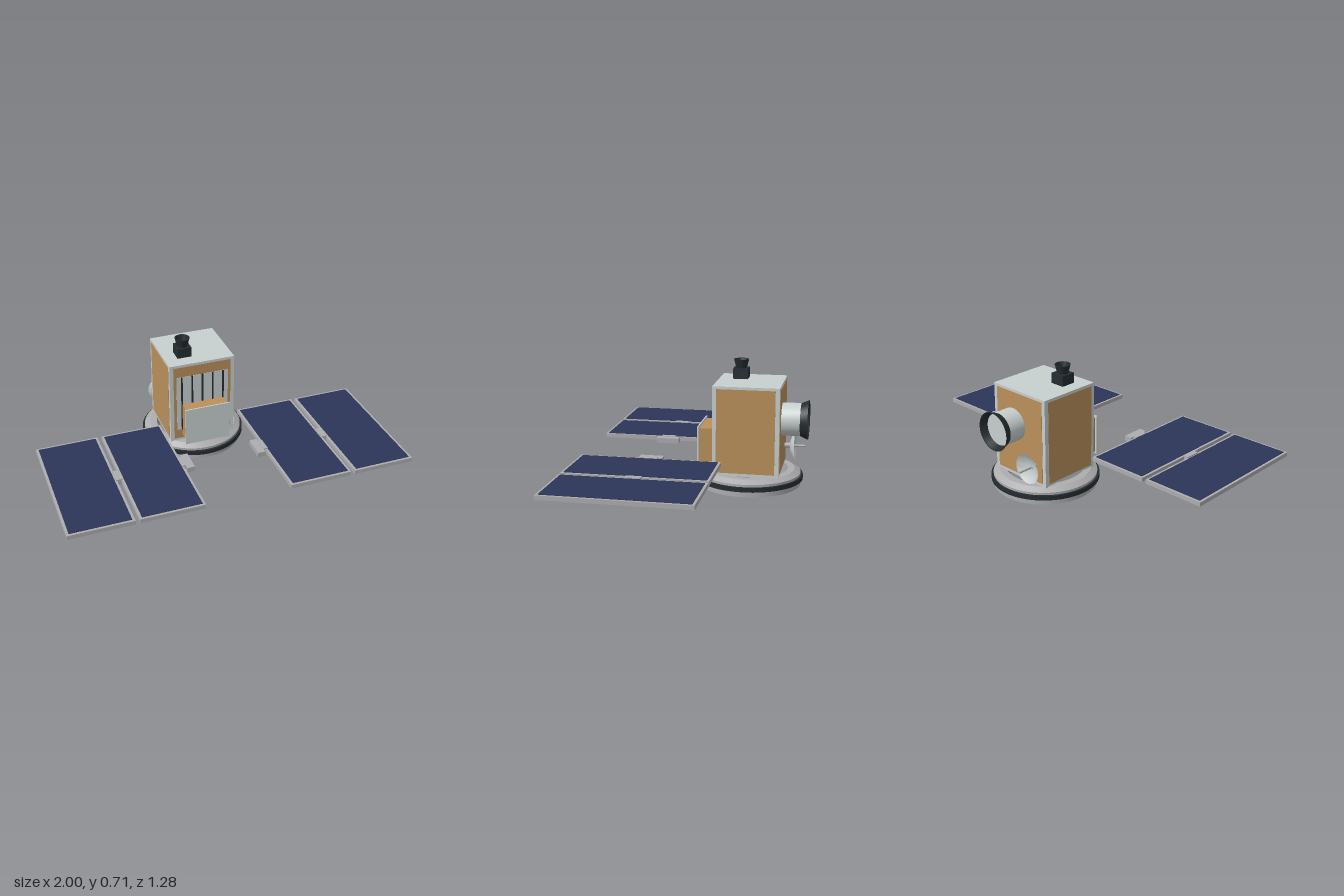
import * as THREE from 'three';
import { toCreasedNormals } from 'three/addons/utils/BufferGeometryUtils.js';

const mat = (name, color, side = THREE.FrontSide) => {
  const m = new THREE.MeshStandardMaterial({ color, side });
  m.name = name;
  return m;
};

export function createModel() {
  const model = new THREE.Group();
  model.name = 'satellite';
  const shell = mat('pale shell', 0xc8cfcf, THREE.DoubleSide);
  const metal = mat('aluminium', 0xadadb0);
  const foil = mat('gold foil', 0xba905b);
  const dark = mat('dark fittings', 0x242c30, THREE.DoubleSide);
  const solar = mat('solar blue', 0x2c3558);

  const add = (name, geometry, material, parent = model) => {
    const mesh = new THREE.Mesh(geometry, material);
    mesh.name = name;
    parent.add(mesh);
    return mesh;
  };
  // Box given by its limits on each axis
  const box = (name, material, [x0, x1], [y0, y1], [z0, z1], parent) => {
    const mesh = add(name, new THREE.BoxGeometry(x1 - x0, y1 - y0, z1 - z0), material, parent);
    mesh.position.set((x0 + x1) / 2, (y0 + y1) / 2, (z0 + z1) / 2);
    return mesh;
  };
  const lathe = (points, segments = 64) => toCreasedNormals(
    new THREE.LatheGeometry(points.map(p => new THREE.Vector2(...p)), segments), 0.4);
  // Round part whose axis points backwards, starting at (x, y, z)
  const backLathe = (name, material, points, x, y, z, parent) => {
    const mesh = add(name, lathe(points, 48).rotateX(-Math.PI / 2), material, parent);
    mesh.position.set(x, y, z);
    return mesh;
  };

  // Adapter ring with an open centre and a dark clamp band
  const ring = add('adapterRing', lathe([[0.222, 0], [0.297, 0], [0.297, 0.072], [0.262, 0.092],
    [0.222, 0.092], [0.222, 0]]), metal);
  const band = add('clampBand', lathe([[0.29, 0.032], [0.31, 0.032], [0.31, 0.058], [0.29, 0.058]]), dark);
  ring.position.z = band.position.z = -0.304;

  // Body with foil panels on four faces
  const bz = [-0.493, -0.115];
  box('body', shell, [-0.2, 0.2], [0.088, 0.602], bz);
  const panelY = [0.105, 0.587];
  for (const s of [-1, 1]) {
    const x = [s * 0.198, s * 0.202].sort((a, b) => a - b);
    box('sideFoil', foil, x, panelY, [-0.469, -0.137]);
  }
  box('frontFoil', foil, [-0.177, 0.177], panelY, [-0.117, -0.113]);
  box('backFoil', foil, [-0.177, 0.177], panelY, [-0.495, -0.491]);

  // Radiator with dark fins
  box('radiator', shell, [-0.16, 0.16], [0.165, 0.523], [-0.115, -0.111]);
  for (let i = -2; i <= 2; i++) {
    const x = i * 0.064;
    box('radiatorFin', dark, [x - 0.005, x + 0.005], [0.165, 0.523], [-0.115, -0.107]);
  }

  // Instrument box on the front
  box('instrumentBox', foil, [-0.127, 0.127], [0.126, 0.34], [-0.115, -0.026]);
  box('instrumentCover', shell, [-0.139, 0.139], [0.115, 0.351], [-0.026, -0.018]);

  // Star tracker on the roof
  box('trackerBase', dark, [-0.123, -0.037], [0.602, 0.662], [-0.281, -0.195]);
  const hood = add('trackerHood', lathe([[0, 0], [0.031, 0], [0.044, 0.05], [0.039, 0.05], [0.028, 0.006], [0, 0.006]], 32), dark);
  hood.position.set(-0.08, 0.662, -0.238);

  // Telescope on the back
  backLathe('telescopeTube', shell, [[0.094, 0], [0.094, 0.11], [0, 0.11]], 0.048, 0.398, -0.493);
  backLathe('telescopeHood', dark, [[0.094, 0], [0.112, 0.043], [0.107, 0.043], [0.09, 0]], 0.048, 0.398, -0.6);

  // Dish antenna on the back
  const dish = [];
  for (let i = 0; i <= 8; i++) dish.push([0.086 * i / 8, 0.03 * (i / 8) ** 2]);
  backLathe('dishMount', metal, [[0.015, 0], [0.015, 0.036]], -0.12, 0.2, -0.493);
  backLathe('dish', shell, dish, -0.12, 0.2, -0.526);
  backLathe('dishFeed', metal, [[0.006, 0], [0.006, 0.087], [0, 0.087]], -0.12, 0.2, -0.526);

  // Solar wings, one on each side
  for (const s of [-1, 1]) {
    const wing = new THREE.Group();
    wing.name = s > 0 ? 'leftWing' : 'rightWing';
    model.add(wing);
    const span = (a, b) => (s > 0 ? [a, b] : [-b, -a]);
    for (const [a, b] of [[0.248, 0.612], [0.636, 1]]) {
      box('panelFrame', metal, span(a, b), [0.157, 0.181], [-0.175, 0.639], wing);
      for (const y of [0.156, 0.182]) {
        box('solarCells', solar, span(a + 0.014, b - 0.014), [y - 0.002, y + 0.002], [-0.161, 0.625], wing);
      }
    }
    box('yoke', metal, span(0.192, 0.238), [0.154, 0.184], [0.164, 0.3], wing);
    box('rootHinge', metal, span(0.238, 0.262), [0.151, 0.187], [0.188, 0.276], wing);
    box('panelHinge', metal, span(0.606, 0.642), [0.151, 0.187], [0.188, 0.276], wing);
  }
  return model;
}
